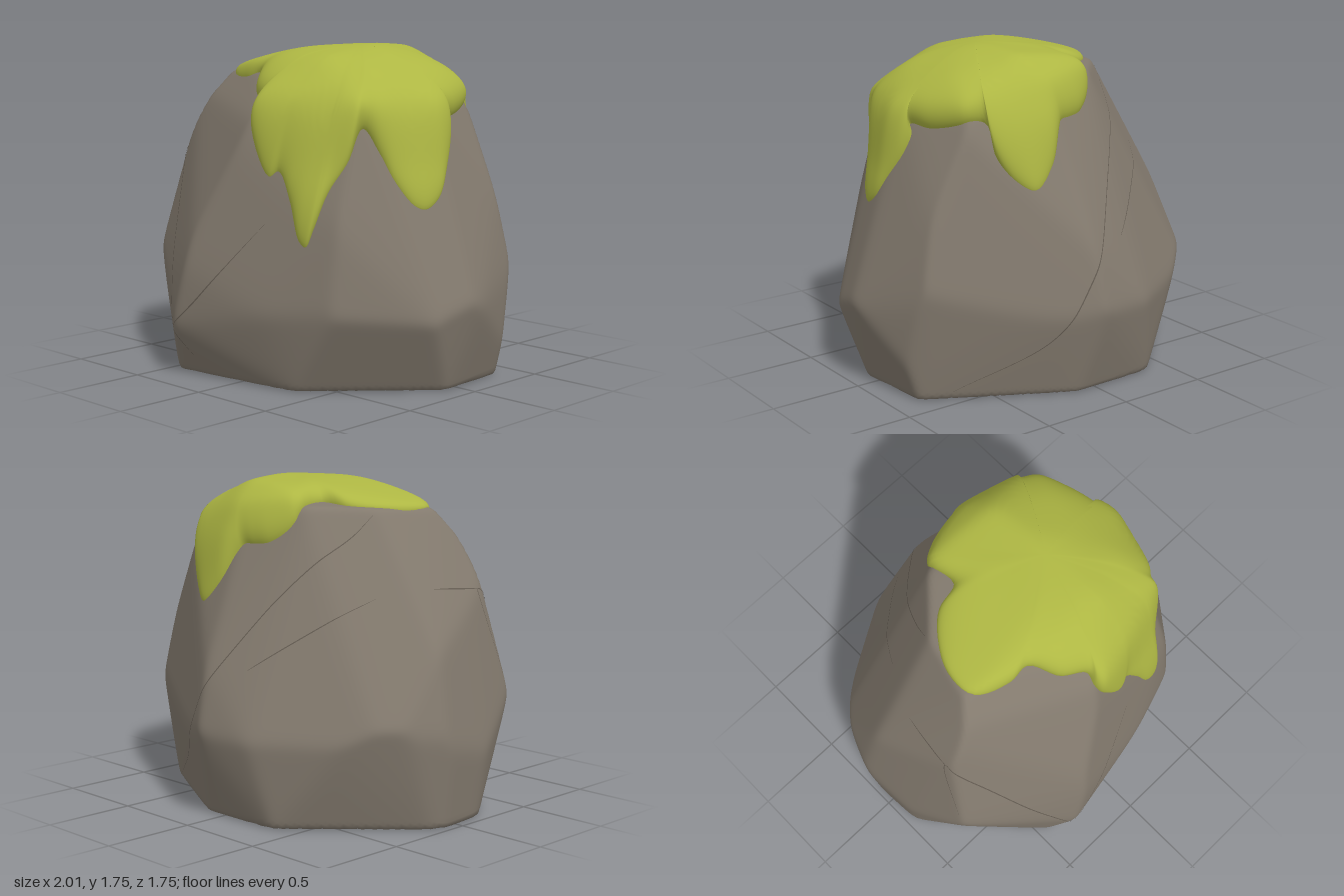
import * as THREE from 'three';
import { mergeVertices } from 'three/addons/utils/BufferGeometryUtils.js';
import { ConvexGeometry } from 'three/addons/geometries/ConvexGeometry.js';

const V = (p) => new THREE.Vector3(...p);
const CENTRE = new THREE.Vector3(0, 0.7, 0);

// Corners of the boulder, ring by ring
const CORNERS = [
  // base
  [-0.44, 0, 0.75], [-0.93, 0, 0.2], [-0.93, 0, -0.18], [-0.36, 0, -0.74], [0.12, 0, -0.75], [0.84, 0, -0.36],
  [0.88, 0, 0.09], [0.34, 0, 0.66],
  // belly
  [-0.34, 0.28, 0.87], [-0.27, 0.6, 0.85], [0.25, 0.4, 0.77], [0.6, 0.43, 0.65], [0.95, 0.38, 0.26], [1, 0.44, -0.03],
  [0.9, 0.2, -0.34], [0.87, 0.55, -0.43], [0.25, 0.4, -0.78], [0.03, 0.45, -0.88], [-0.27, 0.45, -0.83],
  [-0.7, 0.45, -0.57], [-0.93, 0.5, -0.32], [-1, 0.48, -0.14], [-0.97, 0.4, 0.23], [-0.86, 0.6, 0.52],
  // shoulders
  [0.6, 0.85, 0.6], [0.79, 0.96, -0.4], [0.05, 0.8, -0.8], [0.1, 1.15, -0.64], [-0.91, 0.9, -0.1], [-0.78, 1.2, 0.37],
  // crown
  [-0.56, 1.59, 0.24], [-0.47, 1.6, -0.1], [-0.22, 1.6, -0.38], [0.12, 1.55, -0.47], [0.55, 1.47, -0.4],
  [0.68, 1.43, 0], [0.56, 1.42, 0.41], [0.04, 1.43, 0.58], [-0.2, 1.6, 0.35],
  [0.04, 1.67, 0.15], [0.3, 1.67, 0], [0.24, 1.63, 0.32], [0.48, 1.57, 0.2], [0.48, 1.58, -0.2], [0.22, 1.65, -0.34],
];

// Planes of the convex hull, near-equal ones merged
function hullPlanes() {
  const pts = CORNERS.map(([x, y, z]) => new THREE.Vector3(x * 1.01, y, z * 1.01).sub(CENTRE));
  const pos = new ConvexGeometry(pts).getAttribute('position');
  const planes = [];
  for (let i = 0; i < pos.count; i += 3) {
    const [a, b, c] = [0, 1, 2].map((k) => new THREE.Vector3().fromBufferAttribute(pos, i + k));
    const p = new THREE.Plane().setFromCoplanarPoints(a, b, c);
    const h = -p.constant;
    if (!(h > 0.05)) continue;
    const twin = planes.find((q) => q.n.dot(p.normal) > 0.996 && Math.abs(q.h - h) < 0.03);
    if (twin) twin.h = Math.max(twin.h, h);
    else planes.push({ n: p.normal.clone(), h });
  }
  return planes;
}

// Distance from the centre to the soft-edged surface along a direction
function makeRadius(planes, k = 110) {
  return (d) => {
    const hits = [];
    for (const { n, h } of planes) {
      const c = n.dot(d);
      if (c > 0.05) hits.push(h / c);
    }
    const m = Math.min(...hits);
    return m - Math.log(hits.reduce((s, r) => s + Math.exp(-k * (r - m)), 0)) / k;
  };
}

function rockGeometry(radius) {
  let g = new THREE.IcosahedronGeometry(1, 52);
  g.deleteAttribute('normal');
  g.deleteAttribute('uv');
  g = mergeVertices(g, 1e-5);
  const pos = g.getAttribute('position');
  const d = new THREE.Vector3();
  for (let i = 0; i < pos.count; i++) {
    d.fromBufferAttribute(pos, i).normalize();
    d.multiplyScalar(radius(d)).add(CENTRE);
    pos.setXYZ(i, d.x, Math.max(0, d.y), d.z);
  }
  g.computeVertexNormals();
  return g;
}

// Hem of the moss, counter-clockwise from above
const HEM = [
  [-0.56, 1.62, 0.1], [-0.52, 1.59, 0.28], [-0.35, 1.59, 0.35], [-0.22, 1.58, 0.34], [-0.12, 1.49, 0.47], [0, 1.46, 0.55],
  [0, 1.38, 0.6], [0.03, 1.28, 0.64], [0.17, 1.1, 0.69], [0.23, 1.14, 0.68], [0.33, 0.98, 0.69], [0.41, 0.78, 0.7],
  [0.46, 0.75, 0.7], [0.5, 0.85, 0.68], [0.55, 1.05, 0.62], [0.61, 1.21, 0.53], [0.61, 1.37, 0.42],
  [0.69, 1.25, 0.37], [0.73, 1.08, 0.31], [0.79, 0.95, 0.23], [0.82, 0.93, 0.17], [0.82, 0.98, 0.08], [0.8, 1.1, 0],
  [0.76, 1.25, -0.08], [0.73, 1.37, -0.1], [0.73, 1.43, -0.07], [0.72, 1.45, -0.22], [0.62, 1.47, -0.4],
  [0.5, 1.46, -0.46], [0.48, 1.28, -0.53], [0.39, 1.14, -0.6], [0.3, 1.09, -0.64], [0.18, 1.2, -0.61],
  [0.1, 1.38, -0.56], [0.07, 1.45, -0.56], [0, 1.49, -0.57], [-0.1, 1.52, -0.55], [-0.2, 1.56, -0.44],
  [-0.19, 1.62, -0.22], [-0.35, 1.63, -0.18], [-0.47, 1.62, -0.06],
];

// Moss blanket: rings from the apex out to the hem, with a rolled edge
function mossGeometry(radius) {
  const N = 220, M = 22;
  const hem = new THREE.CatmullRomCurve3(HEM.map((p) => V(p).sub(CENTRE)), true, 'centripetal');
  const apex = new THREE.Vector3(0.2, 0.98, 0.02);
  const verts = [], index = [];
  const put = (d, t) => {
    const p = d.clone().normalize();
    const r = radius(p);
    // thick on the cap, thinner on the hanging tips and the left tongue
    const cap = THREE.MathUtils.smoothstep(p.y * r + CENTRE.y, 1.1, 1.42);
    const tongue = THREE.MathUtils.smoothstep(p.x * r, -0.5, 0.05);
    const thick = (0.097 + 0.035 * t * t * cap) * (0.72 + 0.28 * cap) * (0.6 + 0.4 * tongue);
    p.multiplyScalar(r - 0.02 + thick * Math.sqrt(1 - Math.pow(t, 6))).add(CENTRE);
    verts.push(p.x, p.y, p.z);
  };
  put(apex, 0);
  for (let j = 1; j <= M; j++) {
    const t = 1 - Math.pow(1 - j / M, 1.6);
    for (let i = 0; i < N; i++) put(apex.clone().lerp(hem.getPoint(i / N), t), t);
  }
  for (let i = 0; i < N; i++) {
    const n = (i + 1) % N;
    index.push(0, 1 + i, 1 + n);
    for (let j = 0; j < M - 1; j++) {
      const a = 1 + j * N, b = a + N;
      index.push(a + i, b + i, b + n, a + i, b + n, a + n);
    }
  }
  const g = new THREE.BufferGeometry();
  g.setAttribute('position', new THREE.Float32BufferAttribute(verts, 3));
  g.setIndex(index);
  g.computeVertexNormals();
  return g;
}

const CRACKS = [
  [[-0.84, 0.7, 0.47], [-0.79, 1.17, 0.33], [-0.72, 1, 0.47], [-0.55, 0.63, 0.68], [-0.38, 0.26, 0.86], [-0.28, 0.11, 0.8]],
  [[-0.38, 0.26, 0.86], [-0.2, 0.42, 0.86], [0.2, 0.87, 0.73]],
  [[0.7, 0.05, -0.45], [0.3, 0.3, -0.76], [0.05, 0.7, -0.82], [-0.2, 1.12, -0.6], [-0.46, 1.5, -0.26], [-0.48, 1.58, -0.13]],
  [[-0.18, 0.8, -0.77], [-0.67, 1.2, -0.27]],
  [[-0.79, 1.17, 0.33], [-0.76, 1.2, 0.02]],
];

// Thin tapered strip lying on the rock
function crackGeometry(path, radius, width = 0.004) {
  const curve = new THREE.CatmullRomCurve3(path.map((p) => V(p).sub(CENTRE)), false, 'centripetal');
  const S = 70, verts = [], index = [];
  for (let i = 0; i <= S; i++) {
    const d = curve.getPoint(i / S).normalize();
    const side = curve.getTangent(i / S).cross(d).normalize();
    const w = width * Math.sin(Math.PI * (0.04 + 0.92 * i / S));
    for (const s of [-1, 1]) {
      const q = d.clone().addScaledVector(side, s * w).normalize();
      q.multiplyScalar(radius(q) + 0.003).add(CENTRE);
      verts.push(q.x, q.y, q.z);
    }
    if (i < S) index.push(2 * i, 2 * i + 1, 2 * i + 2, 2 * i + 1, 2 * i + 3, 2 * i + 2);
  }
  const g = new THREE.BufferGeometry();
  g.setAttribute('position', new THREE.Float32BufferAttribute(verts, 3));
  g.setIndex(index);
  g.computeVertexNormals();
  return g;
}

export function createModel() {
  const stone = new THREE.MeshStandardMaterial({ color: 0x837a6e });
  stone.name = 'stone';
  const moss = new THREE.MeshStandardMaterial({ color: 0xaeb743 });
  moss.name = 'moss green';
  const dark = new THREE.MeshStandardMaterial({ color: 0x645c52, side: THREE.DoubleSide });
  dark.name = 'crack brown';

  const group = new THREE.Group();
  group.name = 'mossyBoulder';
  const radius = makeRadius(hullPlanes());
  const add = (geometry, material, name) => {
    const mesh = new THREE.Mesh(geometry, material);
    mesh.name = name;
    group.add(mesh);
  };
  add(rockGeometry(radius), stone, 'boulder');
  add(mossGeometry(radius), moss, 'mossBlanket');
  CRACKS.forEach((path, i) => add(crackGeometry(path, radius), dark, `crack${i + 1}`));
  return group;
}
